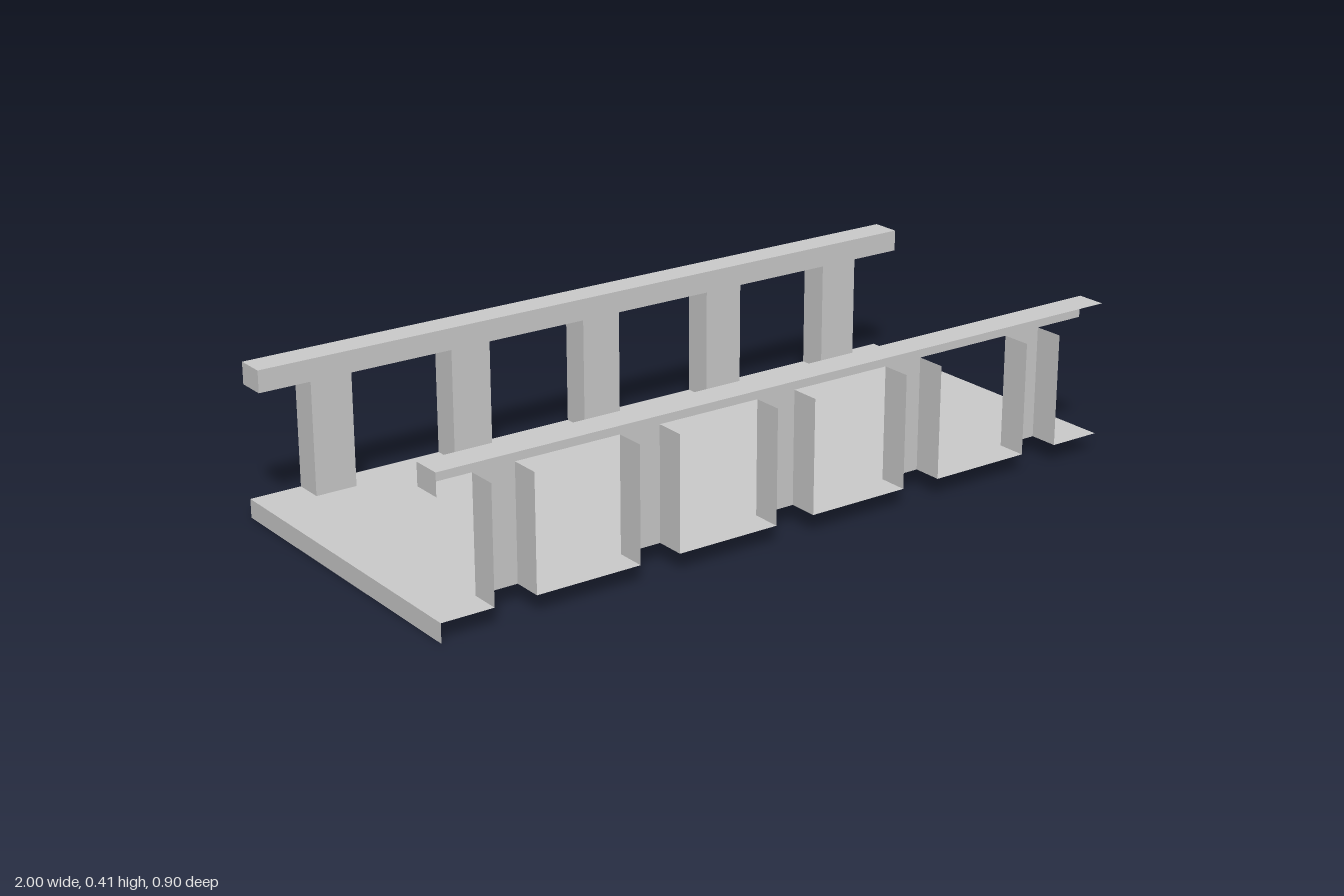
import * as THREE from 'three';

const HALF_LEN = 1, OUTER = 0.45, INNER = 0.37;   // plan extents
const DECK = 0.05, RAIL_BOTTOM = 0.35, RAIL_TOP = 0.408; // heights
const POST_W = 0.113;
const POSTS = [-0.8, -0.4, 0, 0.4, 0.8].map(x => x - 0.003);

const material = new THREE.MeshStandardMaterial({
  color: 0xcccccc, flatShading: true, side: THREE.DoubleSide,
});

function addMesh(parent, name, geometry, x = 0, y = 0, z = 0) {
  const mesh = new THREE.Mesh(geometry, material);
  mesh.name = name;
  mesh.position.set(x, y, z);
  parent.add(mesh);
  return mesh;
}

// Thin panels facing z, x and y
const panelZ = (w, h) => new THREE.PlaneGeometry(w, h);
const panelX = (d, h) => new THREE.PlaneGeometry(d, h).rotateY(-Math.PI / 2);
const panelY = (w, d) => new THREE.PlaneGeometry(w, d).rotateX(-Math.PI / 2);

// Floor sheet, notched where the hollow posts stand
function deckGeometry() {
  const half = POST_W / 2;
  const edge = s => POSTS.flatMap(x => [
    [x - half, s * OUTER], [x - half, s * INNER],
    [x + half, s * INNER], [x + half, s * OUTER],
  ]);
  const outline = [
    [-HALF_LEN, -OUTER], ...edge(-1), [HALF_LEN, -OUTER],
    [HALF_LEN, OUTER], ...edge(1).reverse(), [-HALF_LEN, OUTER],
  ].map(([x, y]) => new THREE.Vector2(x, y));
  return new THREE.ShapeGeometry(new THREE.Shape(outline)).rotateX(-Math.PI / 2);
}

// Post: a channel open towards the outside
function createPost(x, side) {
  const post = new THREE.Group();
  post.name = 'post';
  const h = RAIL_BOTTOM - DECK, y = (RAIL_BOTTOM + DECK) / 2;
  addMesh(post, 'postInnerFace', panelZ(POST_W, h).rotateY(side > 0 ? Math.PI : 0), 0, y, side * INNER);
  for (const s of [-1, 1]) {
    const cheek = panelX(OUTER - INNER, h);
    if (s > 0) cheek.rotateY(Math.PI);
    addMesh(post, 'postCheek', cheek, s * POST_W / 2, y, side * (OUTER + INNER) / 2);
  }
  post.position.x = x;
  return post;
}

// Handrail: top, inner face and one end cap, over a row of posts
function createRailing(side) {
  const railing = new THREE.Group();
  railing.name = side > 0 ? 'frontRailing' : 'backRailing';
  const h = RAIL_TOP - RAIL_BOTTOM, y = (RAIL_TOP + RAIL_BOTTOM) / 2;
  const mid = side * (OUTER + INNER) / 2;
  addMesh(railing, 'railTop', panelY(2 * HALF_LEN, OUTER - INNER), 0, RAIL_TOP, mid);
  addMesh(railing, 'railInnerFace', panelZ(2 * HALF_LEN, h).rotateY(side > 0 ? Math.PI : 0), 0, y, side * INNER);
  addMesh(railing, 'railEndCap', panelX(OUTER - INNER, h), -HALF_LEN, y, mid);
  for (const x of POSTS) railing.add(createPost(x, side));
  return railing;
}

export function createModel() {
  const model = new THREE.Group();
  model.name = 'walkway';
  addMesh(model, 'deck', deckGeometry(), 0, DECK, 0);
  addMesh(model, 'deckEndCap', panelX(2 * OUTER, DECK), -HALF_LEN, DECK / 2, 0);
  for (const side of [-1, 1]) model.add(createRailing(side));
  return model;
}
